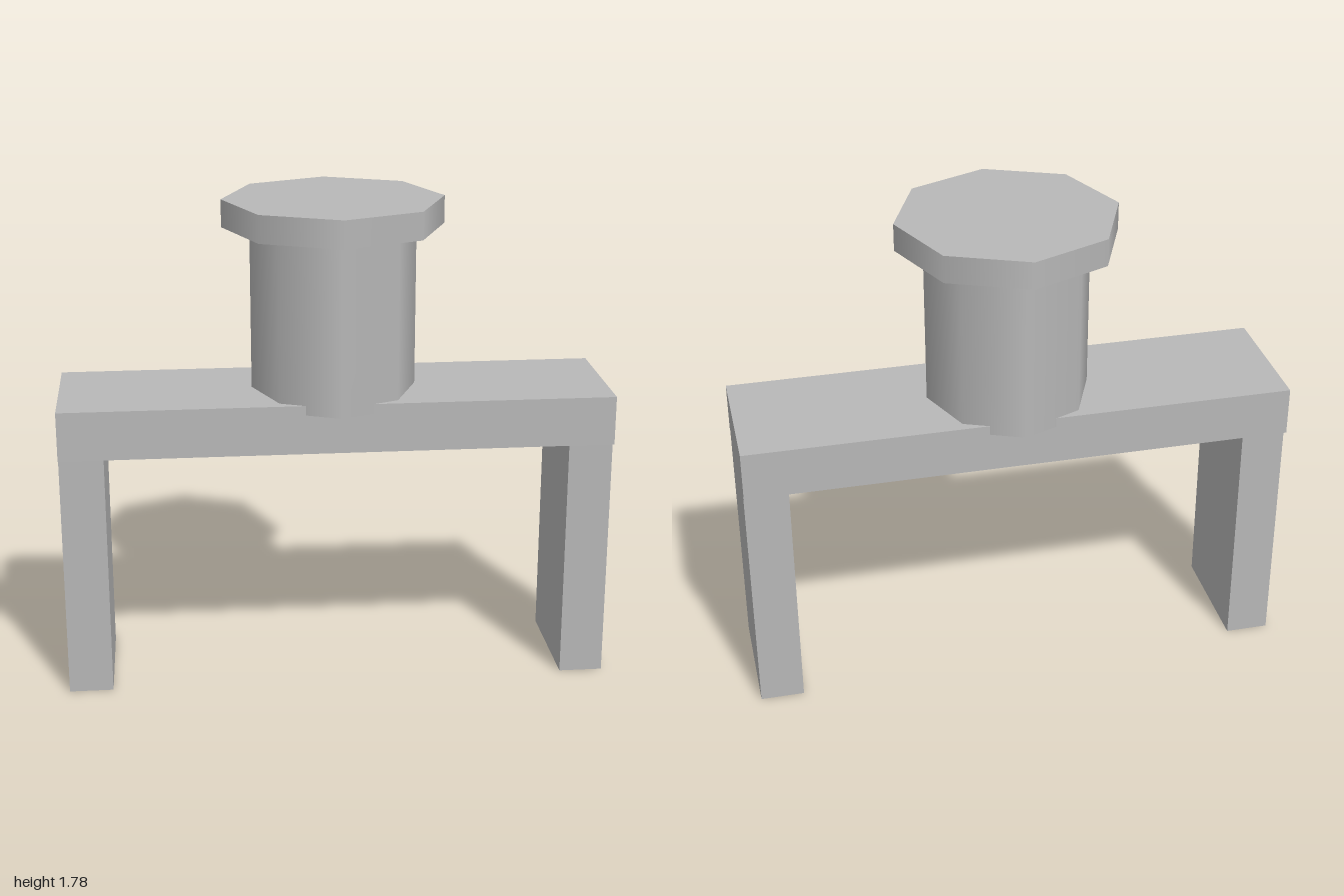
import * as THREE from 'three';

export function createModel() {
  const model = new THREE.Group();
  const grey = new THREE.MeshStandardMaterial({ color: 0xb8b8b8 });
  grey.name = 'plain grey';

  function add(name, geometry, x, y) {
    const mesh = new THREE.Mesh(geometry, grey);
    mesh.name = name;
    mesh.position.set(x, y, 0);
    model.add(mesh);
  }

  // Bench: a plank on two slab legs flush with its ends
  add('plank', new THREE.BoxGeometry(2, 0.18, 0.5), 0, 1.0);
  for (const side of [-1, 1]) {
    add(side > 0 ? 'leftLeg' : 'rightLeg', new THREE.BoxGeometry(0.16, 0.91, 0.45), side * 0.92, 0.455);
  }

  // Eight-sided drum sunk slightly into the plank, with a wider lid
  add('drum', new THREE.CylinderGeometry(0.3, 0.3, 0.63, 8), 0, 1.37);
  add('lid', new THREE.CylinderGeometry(0.4, 0.4, 0.1, 8), 0, 1.735);

  return model;
}
